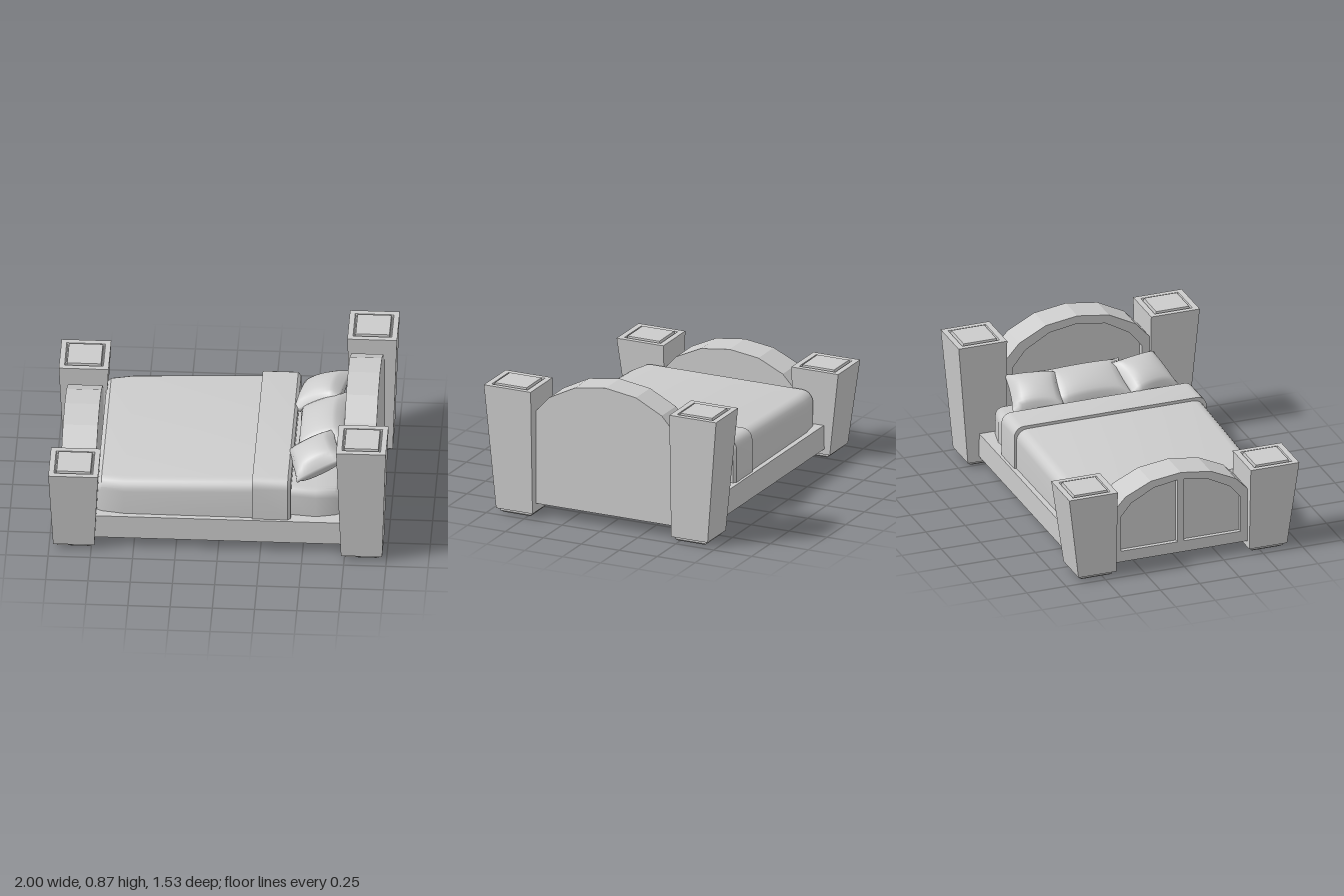
import * as THREE from 'three';
import { mergeVertices, toCreasedNormals } from 'three/addons/utils/BufferGeometryUtils.js';

const material = new THREE.MeshStandardMaterial({ color: 0xcccccc });

function add(parent, name, geometry) {
  const mesh = new THREE.Mesh(geometry, material);
  mesh.name = name;
  parent.add(mesh);
  return mesh;
}

// Skin a series of equal-length rings and close both ends.
function loft(rings, crease = 0.6) {
  const n = rings[0].length, index = [];
  const last = (rings.length - 1) * n;
  for (let r = 0; r < rings.length - 1; r++) {
    for (let i = 0; i < n; i++) {
      const a = r * n + i, b = r * n + (i + 1) % n;
      index.push(a, b, b + n, a, b + n, a + n);
    }
  }
  for (let i = 1; i < n - 1; i++) {
    index.push(0, i + 1, i, last, last + i, last + i + 1);
  }
  const geometry = new THREE.BufferGeometry();
  geometry.setAttribute('position', new THREE.Float32BufferAttribute(rings.flat(2), 3));
  geometry.setIndex(index);
  return toCreasedNormals(geometry, crease);
}

// Horizontal rectangle; side mirrors it in z.
function rect(y, x0, x1, zIn, zOut, side) {
  const z0 = Math.min(zIn * side, zOut * side), z1 = Math.max(zIn * side, zOut * side);
  return [[x0, y, z0], [x0, y, z1], [x1, y, z1], [x1, y, z0]];
}

// Tapered post with a small plinth below and a grooved panel on top.
function post(x, zIn, h, side) {
  const r = (y, halfX, a, b) => rect(y, x - halfX, x + halfX, zIn + a, zIn + b, side);
  return loft([
    r(0, 0.085, 0.03, 0.205),
    r(0.012, 0.1, 0.018, 0.222),
    r(0.03, 0.1, 0.018, 0.222),
    r(0.03, 0.122, 0, 0.24),
    r(h, 0.147, 0, 0.308),
    r(h, 0.115, 0.035, 0.273),
    r(h - 0.015, 0.108, 0.042, 0.266),
    r(h - 0.015, 0.104, 0.046, 0.262),
    r(h + 0.006, 0.1, 0.05, 0.258),
  ], 0.1);
}

// Vertical cross-section of a cover with rounded upper edges.
function coverRing(x, half, top, radius, base = 0.2) {
  const ring = [[x, base, -half]];
  for (const side of [-1, 1]) {
    for (let i = 0; i <= 5; i++) {
      const a = (side < 0 ? i : 5 - i) * Math.PI / 10;
      ring.push([x, top - radius + radius * Math.sin(a), side * (half - radius + radius * Math.cos(a))]);
    }
  }
  ring.push([x, base, half]);
  return ring;
}

// Closed path under a half arch mirrored about z = 0.
function archPath(Type, half, bottom) {
  const p = half.map(([z, y]) => new THREE.Vector2(z, y));
  const mirrored = half.slice(0, -1).reverse().map(([z, y]) => new THREE.Vector2(-z, y));
  const w = half[0][0];
  return new Type([new THREE.Vector2(w, bottom), ...p, ...mirrored, new THREE.Vector2(-w, bottom)]);
}

function insetArch(half, w) {
  return half.map(([z, y]) => [z * (1 - w / half[0][0]), y - w]);
}

// Extrude a z-y outline between two x positions.
function board(shape, x0, x1) {
  return new THREE.ExtrudeGeometry(shape, { depth: x1 - x0, bevelEnabled: false })
    .rotateY(Math.PI / 2).translate(x0, 0, 0);
}

// Square cushion, thick in the middle, with slightly pulled-out corners.
function pillowGeometry(width, length, thickness) {
  const g = new THREE.BoxGeometry(2, 2, 2, 12, 2, 12);
  g.deleteAttribute('uv');
  g.deleteAttribute('normal');
  const p = g.attributes.position;
  for (let i = 0; i < p.count; i++) {
    const u = p.getX(i), v = p.getZ(i), s = p.getY(i);
    const puff = 0.12 + 0.88 * Math.pow((1 - u * u) * (1 - v * v), 0.45);
    const bulge = 1 + 0.03 * (1 - Math.abs(s));
    p.setXYZ(i,
      u * bulge * (1 - 0.07 * (1 - v * v)) * width / 2,
      s * puff * thickness / 2,
      v * bulge * (1 - 0.07 * (1 - u * u)) * length / 2);
  }
  const merged = mergeVertices(g);
  merged.computeVertexNormals();
  return merged;
}

export function createModel() {
  const bed = new THREE.Group();
  bed.name = 'bed';

  // Posts
  for (const side of [1, -1]) {
    const label = side > 0 ? 'Front' : 'Back';
    add(bed, 'headPost' + label, post(0.853, 0.457, 0.8, side));
    add(bed, 'footPost' + label, post(-0.853, 0.422, 0.555, side));
  }

  // Base
  add(bed, 'bedBase', new THREE.BoxGeometry(1.6, 0.15, 1.254).translate(0, 0.14, 0));

  // Headboard: solid back with a raised arched frame facing the mattress
  const headArch = [[0.458, 0.66], [0.37, 0.758], [0.2, 0.845], [0, 0.874]];
  const headFrame = archPath(THREE.Shape, headArch, 0.08);
  headFrame.holes.push(archPath(THREE.Path, insetArch(headArch, 0.05), 0.28));
  add(bed, 'headboard', board(archPath(THREE.Shape, headArch, 0.08), 0.775, 0.925));
  add(bed, 'headboardFrame', board(headFrame, 0.735, 0.775));

  // Footboard: solid inside with two framed recesses on the outside
  const footArch = [[0.425, 0.41], [0.35, 0.49], [0.19, 0.565], [0, 0.59]];
  const footFrame = archPath(THREE.Shape, footArch, 0.07);
  const inner = insetArch(footArch, 0.045);
  for (const side of [1, -1]) {
    const corners = [[inner[0][0], 0.14], ...inner.slice(0, 3), [0.022, inner[3][1]], [0.022, 0.14]];
    footFrame.holes.push(new THREE.Path(corners.map(([z, y]) => new THREE.Vector2(z * side, y))));
  }
  add(bed, 'footboard', board(archPath(THREE.Shape, footArch, 0.07), -0.915, -0.735));
  add(bed, 'footboardFrame', board(footFrame, -0.942, -0.915));

  // Bedding
  add(bed, 'mattress', loft([
    coverRing(-0.66, 0.55, 0.39, 0.05),
    coverRing(0.43, 0.55, 0.395, 0.05),
    coverRing(0.575, 0.566, 0.395, 0.05),
    coverRing(0.69, 0.54, 0.385, 0.05),
    coverRing(0.725, 0.52, 0.36, 0.05),
  ]));
  add(bed, 'blanket', loft([
    coverRing(-0.72, 0.555, 0.405, 0.06),
    coverRing(-0.695, 0.57, 0.43, 0.07),
    coverRing(-0.56, 0.592, 0.437, 0.07),
    coverRing(0.22, 0.597, 0.464, 0.07),
  ]));
  add(bed, 'blanketFold', loft([
    coverRing(0.2, 0.61, 0.482, 0.06),
    coverRing(0.41, 0.61, 0.482, 0.06),
    coverRing(0.428, 0.595, 0.465, 0.06),
  ]));

  // Pillows leaning toward the headboard: x, y, z, length, yaw
  const pillows = [
    ['pillowBack', 0.565, 0.505, -0.335, 0.31, -0.19],
    ['pillowMiddle', 0.585, 0.495, 0, 0.5, 0],
    ['pillowFront', 0.56, 0.505, 0.355, 0.31, 0.24],
  ];
  for (const [name, x, y, z, length, yaw] of pillows) {
    const pillow = add(bed, name, pillowGeometry(0.3, length, 0.17));
    pillow.position.set(x, y, z);
    pillow.rotation.set(0, yaw, 0.42, 'YXZ');
  }

  return bed;
}
